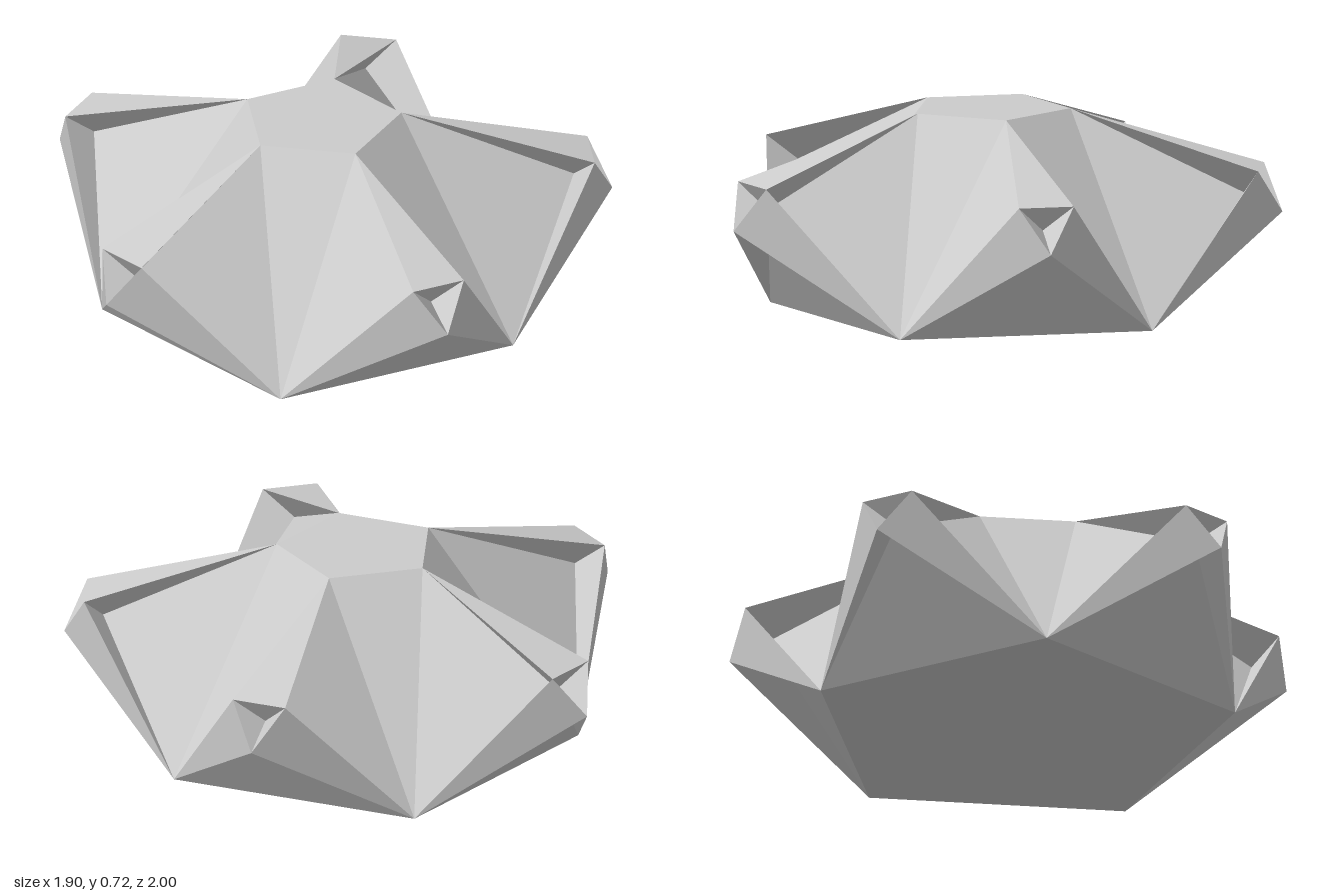
import * as THREE from 'three';

const SIDES = 5;
const STEP = (2 * Math.PI) / SIDES;
const CENTRE_X = -0.1;

// Key points of one arm as [radial, tangential, height]
const ring = (radius, angle, y) => [radius * Math.cos(angle), radius * Math.sin(angle), y];
const top = ring(0.293, 0, 0.72);
const nextTop = ring(0.293, STEP, 0.72);
const foot = ring(0.782, STEP / 2, 0);
const shoulder = [0.975, 0.1, 0.52];
const notch = [0.913, 0, 0.427];
const tip = [1.0515, 0, 0.36];
const mirror = ([r, t, y]) => [r, -t, y];

// Repeat a list of triangles around the centre as one flat-shaded mesh
function star(name, triangles, material) {
  const positions = [];
  for (let i = 0; i < SIDES; i++) {
    const c = Math.cos(i * STEP), s = Math.sin(i * STEP);
    for (const [r, t, y] of triangles.flat()) {
      positions.push(CENTRE_X + r * c - t * s, y, r * s + t * c);
    }
  }
  const geometry = new THREE.BufferGeometry();
  geometry.setAttribute('position', new THREE.Float32BufferAttribute(positions, 3));
  geometry.computeVertexNormals();
  const mesh = new THREE.Mesh(geometry, material);
  mesh.name = name;
  return mesh;
}

// Add the mirrored half of each triangle, with its corners reversed
const bothSides = (triangles) => [
  ...triangles,
  ...triangles.map(([a, b, c]) => [mirror(a), mirror(c), mirror(b)]),
];

export function createModel() {
  const grey = new THREE.MeshStandardMaterial({ color: 0xcccccc });
  grey.name = 'grey';
  grey.side = THREE.DoubleSide;
  grey.flatShading = true;

  const group = new THREE.Group();
  group.name = 'facetedStar';
  group.add(
    // Flat pentagons
    star('topCap', [[[0, 0, 0.72], nextTop, top]], grey),
    star('base', [[[0, 0, 0], mirror(foot), foot]], grey),
    // Sloping panels between the arms and the walls beside them
    star('petals', [[top, nextTop, foot], ...bothSides([[top, foot, notch]])], grey),
    // Overhanging ridge on each arm
    star('ridges', [
      [top, shoulder, mirror(shoulder)],
      [notch, mirror(shoulder), shoulder],
      ...bothSides([[top, notch, shoulder]]),
    ], grey),
    // Thin wedge-shaped fins that meet at a notched point
    star('fins', bothSides([
      [foot, shoulder, notch],
      [foot, tip, shoulder],
      [notch, shoulder, tip],
      [foot, notch, tip],
    ]), grey),
    // Recessed wall leaning out from each base edge behind the fins
    star('walls', [[foot, mirror(foot), notch]], grey),
  );
  return group;
}
